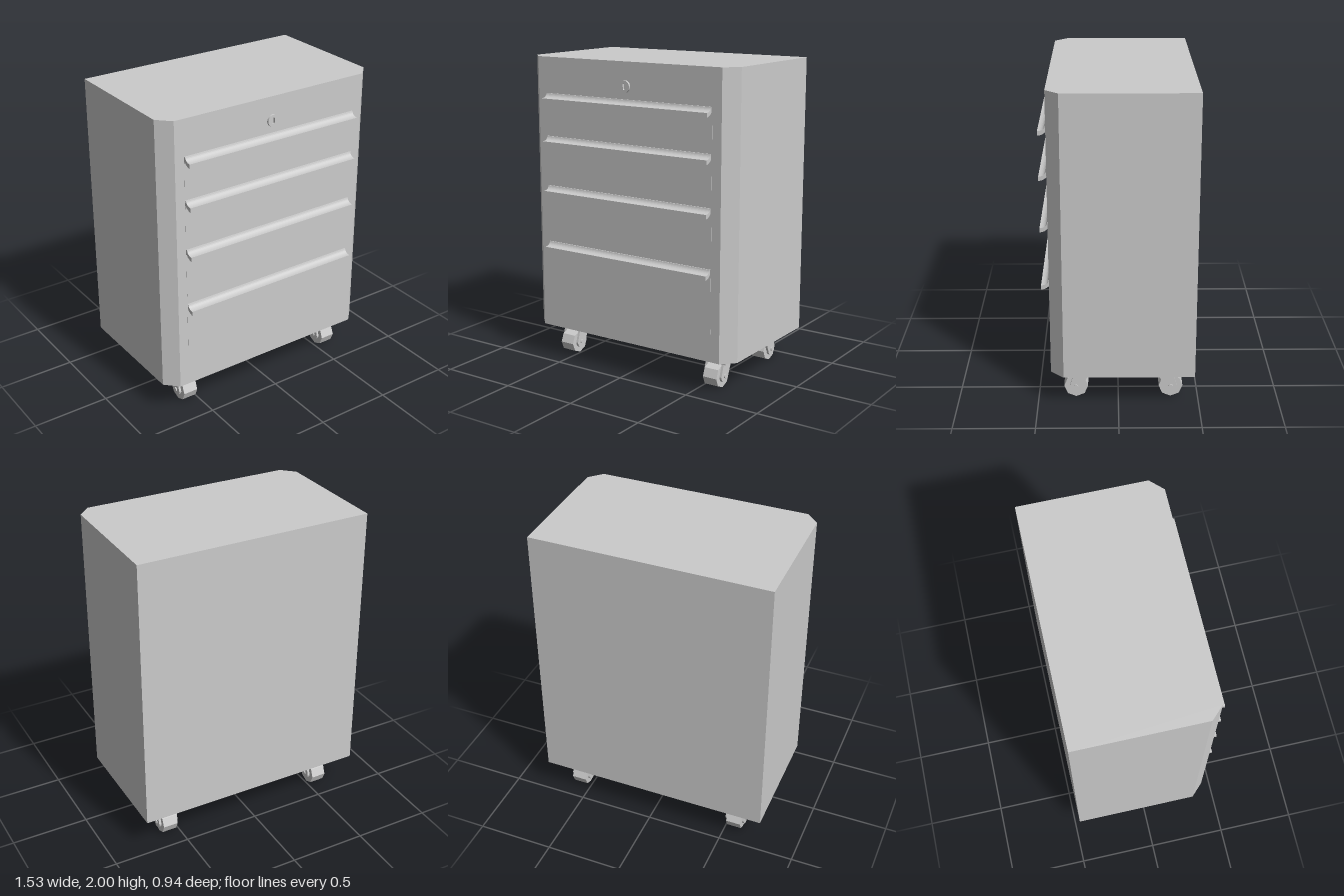
import * as THREE from 'three';

const material = new THREE.MeshStandardMaterial({ color: 0xcccccc, flatShading: true });
const smooth = new THREE.MeshStandardMaterial({ color: 0xcccccc });

function add(parent, name, geometry, x = 0, y = 0, z = 0, mat = material) {
  const mesh = new THREE.Mesh(geometry, mat);
  mesh.name = name;
  mesh.position.set(x, y, z);
  parent.add(mesh);
  return mesh;
}

// Extrude a (z, y) side profile along x, centred on x = 0
function sideExtrude(shape, width) {
  return new THREE.ExtrudeGeometry(shape, { depth: width, bevelEnabled: false, curveSegments: 8 })
    .translate(0, 0, -width / 2)
    .rotateY(-Math.PI / 2);
}

// Cabinet with chamfered front corners
function cabinetGeometry() {
  const outline = [[-0.765, -0.47], [-0.765, 0.337], [-0.685, 0.418], [0.685, 0.418], [0.765, 0.337], [0.765, -0.47]];
  const shape = new THREE.Shape(outline.map(([x, z]) => new THREE.Vector2(x, -z)));
  return new THREE.ExtrudeGeometry(shape, { depth: 1.787, bevelEnabled: false }).rotateX(-Math.PI / 2);
}

// Scooped pull lip; its top edge lies at y = 0 against the drawer
function handleGeometry() {
  const s = new THREE.Shape();
  s.moveTo(0.416, 0);
  s.lineTo(0.424, 0);
  s.quadraticCurveTo(0.43, -0.03, 0.47, -0.03);
  s.lineTo(0.47, -0.058);
  s.quadraticCurveTo(0.436, -0.056, 0.416, -0.028);
  return sideExtrude(s, 1.236);
}

// Raked fork cheek, rounded around the axle at z = 0.033
function cheekGeometry() {
  const s = new THREE.Shape();
  s.moveTo(-0.048, 0.172);
  s.lineTo(-0.004, 0.066);
  s.absarc(0.033, 0.079, 0.04, -0.35 - Math.PI + 0.69, 0, false);
  s.lineTo(0.045, 0.172);
  return sideExtrude(s, 0.015);
}

function createCaster() {
  const caster = new THREE.Group();
  caster.name = 'caster';
  add(caster, 'mountingPlate', new THREE.BoxGeometry(0.19, 0.048, 0.156), 0, 0.192, 0);
  add(caster, 'forkBridge', new THREE.BoxGeometry(0.13, 0.018, 0.085), 0, 0.161, -0.002);
  const disc = (r, w, sides) => new THREE.CylinderGeometry(r, r, w, sides).rotateZ(Math.PI / 2);
  add(caster, 'wheel', disc(0.075, 0.098, 8), 0, 0.076, 0.033);
  for (const side of [-1, 1]) add(caster, 'forkCheek', cheekGeometry(), side * 0.058, 0, 0);
  add(caster, 'axle', disc(0.014, 0.145, 10), 0, 0.079, 0.033);
  return caster;
}

export function createModel() {
  const model = new THREE.Group();
  model.name = 'drawerCabinet';
  add(model, 'cabinetBody', cabinetGeometry(), 0, 0.213, 0);

  // Drawers: [top, bottom]
  const drawers = [[1.77, 1.54], [1.494, 1.225], [1.17, 0.85], [0.796, 0.39]];
  for (const [top, bottom] of drawers) {
    const drawer = new THREE.Group();
    drawer.name = 'drawer';
    add(drawer, 'drawerFront', new THREE.BoxGeometry(1.244, top - bottom, 0.01), 0, (top + bottom) / 2, 0.4145);
    add(drawer, 'drawerHandle', handleGeometry(), -0.002, top, 0, smooth);
    model.add(drawer);
  }

  // Lock with a recessed ring face and key slot
  const lock = new THREE.Group();
  lock.name = 'lock';
  lock.position.set(-0.002, 1.849, 0.416);
  const face = new THREE.Shape().absarc(0, 0, 0.038, 0, Math.PI * 2, false);
  const slot = new THREE.Path();
  slot.absarc(0, 0.013, 0.008, 0, Math.PI, false);
  slot.absarc(0, -0.013, 0.008, Math.PI, Math.PI * 2, false);
  face.holes.push(slot);
  add(lock, 'lockCylinder', new THREE.ExtrudeGeometry(face, { depth: 0.015, bevelEnabled: false, curveSegments: 24 }), 0, 0, 0, smooth);
  model.add(lock);

  // Casters: wheels trail outward at the front and the back
  for (const x of [-0.561, 0.571]) {
    const front = createCaster();
    front.position.set(x, 0, 0.232);
    const back = createCaster();
    back.position.set(x, 0, -0.296);
    back.rotation.y = Math.PI;
    model.add(front, back);
  }
  return model;
}
